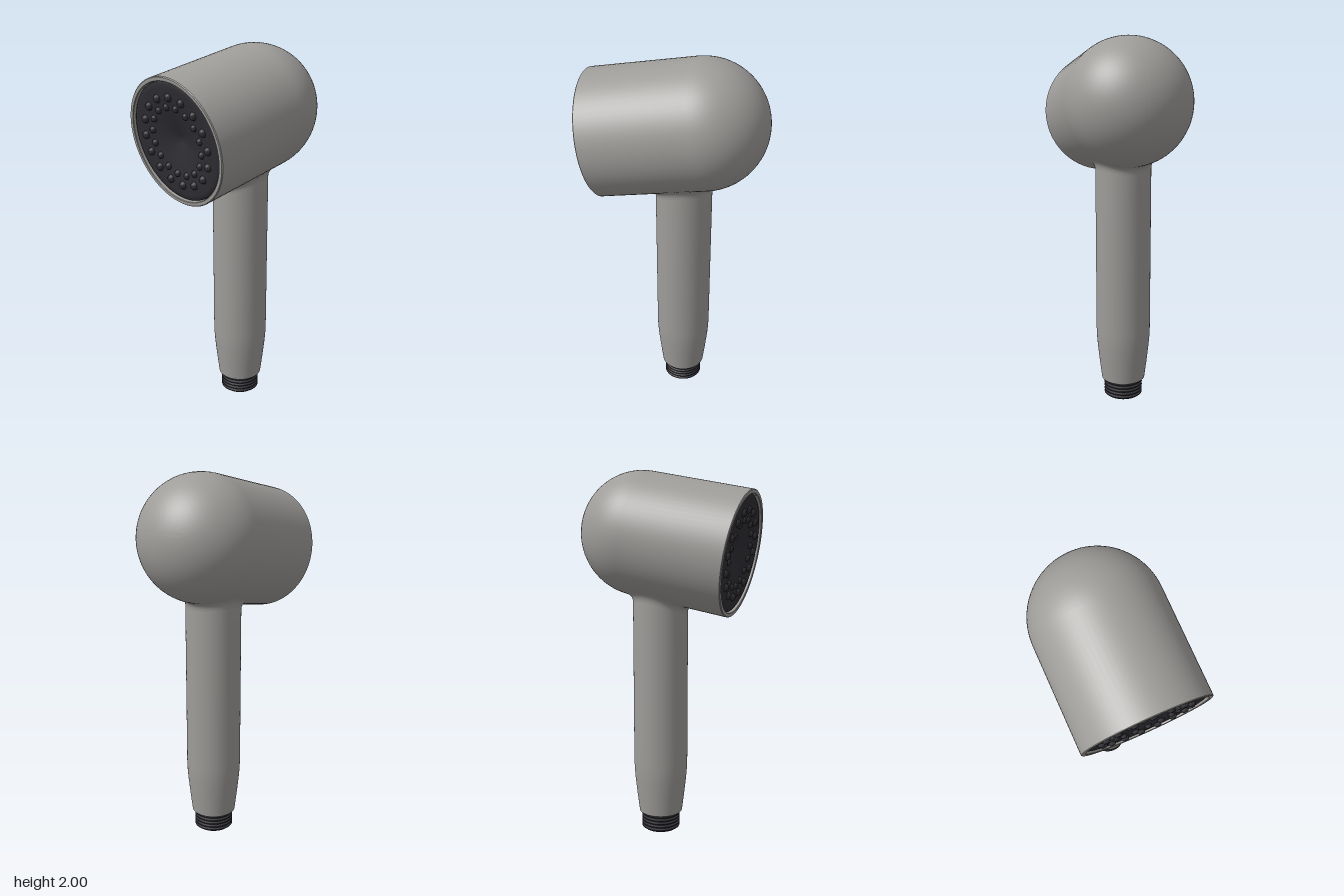
import * as THREE from 'three';
import { toCreasedNormals } from 'three/addons/utils/BufferGeometryUtils.js';

const R = 0.335, TILT = Math.PI / 18;          // head radius and downward tilt
const HEAD_Y = 1.665, HEAD_Z = -0.14;          // centre of the rounded back
const GRIP_R = 0.15, GRIP_Z = -0.04;

const metal = new THREE.MeshStandardMaterial({ color: 0x9f9d9a });
metal.name = 'satinGrey';
const rubber = new THREE.MeshStandardMaterial({ color: 0x2f2f35 });
rubber.name = 'darkGrey';

function add(parent, name, geometry, material) {
  const mesh = new THREE.Mesh(geometry, material);
  mesh.name = name;
  parent.add(mesh);
  return mesh;
}

function lathe(points, segments = 64) {
  const pts = points.map(([r, y]) => new THREE.Vector2(r, y));
  return toCreasedNormals(new THREE.LatheGeometry(pts, segments), 0.6);
}

// Height of the underside of the tilted head at (x, z)
function underside(x, z) {
  const c = Math.cos(TILT), s = Math.sin(TILT);
  const v = -Math.sqrt(R * R - x * x);
  const w = (z - HEAD_Z - v * s) / c;
  if (w >= 0) return HEAD_Y + v * c - w * s;
  return HEAD_Y - Math.sqrt(R * R - x * x - (z - HEAD_Z) ** 2);
}

// Flared collar blending the grip into the head
function collarGeometry(n = 64, m = 8, flare = 0.035) {
  const pos = [], index = [];
  for (let i = 0; i <= n; i++) {
    const a = (i / n) * Math.PI * 2, sx = Math.sin(a), cz = Math.cos(a);
    const h = r => underside(sx * r, GRIP_Z + cz * r);
    const y1 = h(GRIP_R), y2 = h(GRIP_R + flare);
    for (let j = 0; j <= m; j++) {
      const t = j / m, k = (1 - t) * (1 - t);
      const r = GRIP_R + flare * t * t;
      const y = k * (y1 - 0.04) + 2 * t * (1 - t) * y1 + t * t * y2;
      pos.push(sx * r, y, GRIP_Z + cz * r);
      if (i < n && j < m) {
        const p = i * (m + 1) + j, q = p + m + 1;
        index.push(p, q, p + 1, q, q + 1, p + 1);
      }
    }
  }
  const g = new THREE.BufferGeometry();
  g.setAttribute('position', new THREE.Float32BufferAttribute(pos, 3));
  g.setIndex(index);
  g.computeVertexNormals();
  return g;
}

export function createModel() {
  const model = new THREE.Group();
  model.name = 'handShower';

  // Head, built along its own +z axis
  const head = new THREE.Group();
  head.name = 'head';
  head.position.set(0, HEAD_Y, HEAD_Z);
  head.rotation.x = TILT;
  model.add(head);

  const shell = [];
  for (let i = 0; i <= 20; i++) {
    const a = (i / 20) * Math.PI / 2;
    shell.push([R * Math.sin(a), -R * Math.cos(a)]);
  }
  shell.push([R, 0.562], [R - 0.004, 0.566], [0.314, 0.566], [0.311, 0.563], [0.311, 0.53]);
  add(head, 'headShell', lathe(shell, 80), metal).rotation.x = Math.PI / 2;

  // Dished spray plate
  const plateHeight = r => 0.505 + 0.05 * Math.sin(Math.min(r / 0.27, 1) * Math.PI / 2);
  const plate = [[0.311, 0.535], [0.308, 0.549], [0.299, 0.555]];
  for (let i = 0; i <= 14; i++) {
    const r = 0.28 * (1 - i / 14);
    plate.push([r, plateHeight(r)]);
  }
  add(head, 'sprayPlate', lathe(plate, 80), rubber).rotation.x = Math.PI / 2;

  // Two staggered rings of nozzles
  const nozzles = new THREE.Group();
  nozzles.name = 'nozzles';
  head.add(nozzles);
  const nozzle = lathe([[0.024, -0.006], [0.02, 0.004], [0.016, 0.012], [0.011, 0.016], [0, 0.017]], 14);
  for (const [radius, offset, size] of [[0.23, 0, 1], [0.178, 0.5, 0.85]]) {
    for (let i = 0; i < 16; i++) {
      const a = ((i + offset) / 16) * Math.PI * 2;
      const n = add(nozzles, 'nozzle', nozzle, rubber);
      n.position.set(radius * Math.sin(a), radius * Math.cos(a), plateHeight(radius));
      n.rotation.x = Math.PI / 2;
      n.scale.setScalar(size);
    }
  }

  // Grip with tapered foot
  add(model, 'grip', lathe([
    [0.09, 0.1], [0.117, 0.1], [0.121, 0.104], [0.133, 0.2], [0.144, 0.3],
    [0.148, 0.35], [GRIP_R, 0.4], [GRIP_R, 1.4],
  ]), metal).position.z = GRIP_Z;
  add(model, 'collar', collarGeometry(), metal);

  // Hollow threaded connector
  const thread = [[0.08, 0.1], [0.08, 0], [0.094, 0]];
  for (let i = 0; i < 5; i++) {
    const y = 0.004 + i * 0.019;
    thread.push([0.094, y], [0.107, y + 0.006], [0.107, y + 0.011], [0.094, y + 0.017]);
  }
  thread.push([0.094, 0.11]);
  add(model, 'threadedConnector', lathe(thread, 48), rubber).position.z = GRIP_Z;
  const plug = add(model, 'connectorInside', new THREE.CircleGeometry(0.082, 40), rubber);
  plug.position.set(0, 0.09, GRIP_Z);
  plug.rotation.x = Math.PI / 2;

  return model;
}
